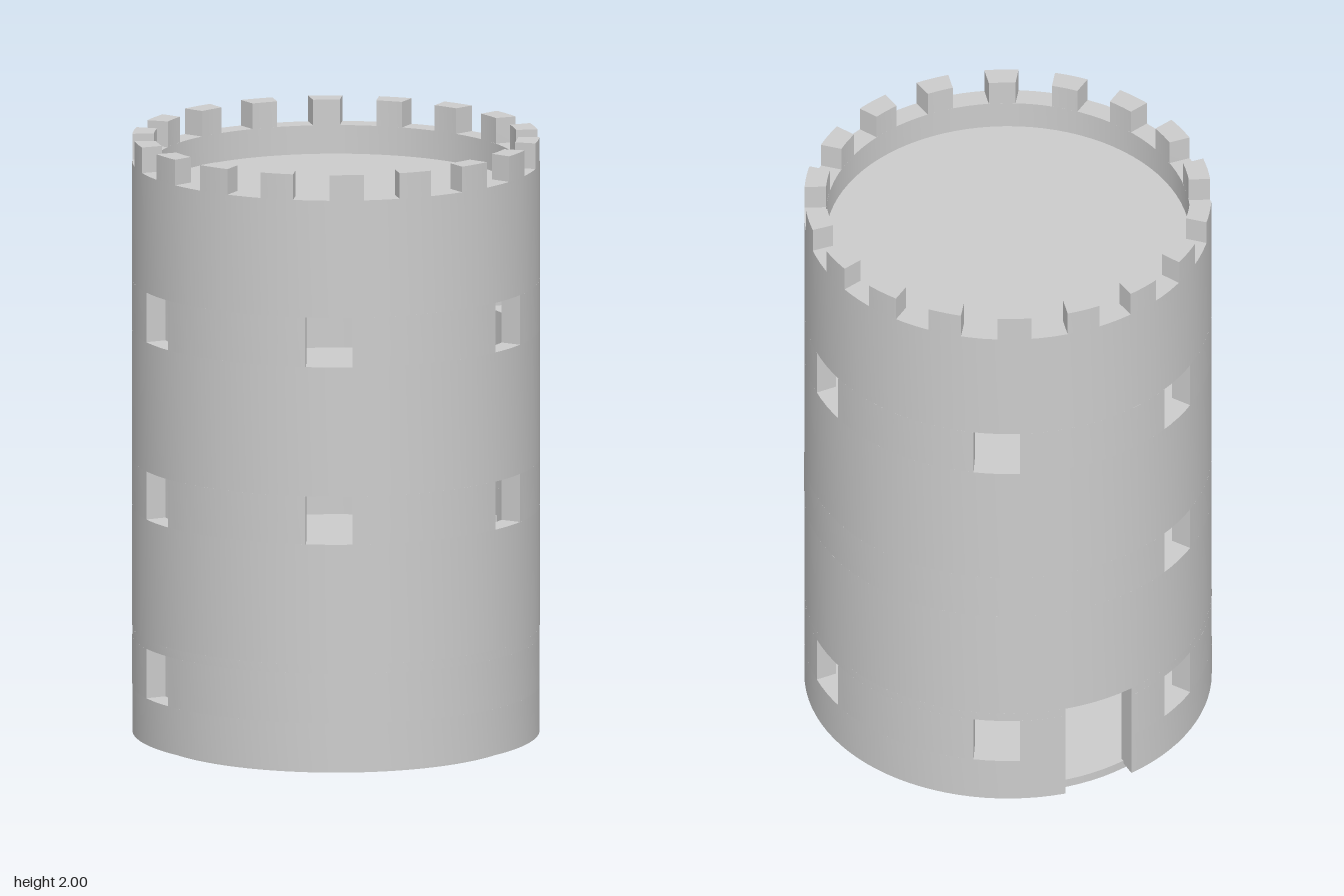
import * as THREE from 'three';
import { mergeGeometries, toCreasedNormals } from 'three/addons/utils/BufferGeometryUtils.js';

const R = 0.665, INNER = 0.595, STAIR_R = 0.42;
const BASE = 0.02, CRENEL = 1.915, TOP = 2;
const FLOORS = [0.03, 0.62, 1.21, 1.82];
const rad = THREE.MathUtils.degToRad;
const material = new THREE.MeshStandardMaterial({ color: 0xcccccc });

// Ring sector from angle a to b (degrees, x towards z). Its ends are cut parallel
// to the opening's axis, at half widths ha and hb, rather than radially.
function sector(r0, r1, a, b, y0, y1, ha = 0, hb = 0) {
  const points = [];
  const arc = (r, reverse) => {
    const s = rad(a) + Math.asin(ha / r), e = rad(b) - Math.asin(hb / r);
    const n = Math.max(1, Math.ceil((b - a) / 4));
    for (let i = 0; i <= n; i++) {
      const t = s + (e - s) * (reverse ? 1 - i / n : i / n);
      points.push(new THREE.Vector2(r * Math.cos(t), r * Math.sin(t)));
    }
  };
  arc(r1, false);
  arc(r0, true);
  const g = new THREE.ExtrudeGeometry(new THREE.Shape(points), { depth: y1 - y0, bevelEnabled: false });
  return g.rotateX(Math.PI / 2).translate(0, y1, 0);
}

// Wall pieces standing between the openings of one horizontal band
function band(y0, y1, openings) {
  const list = openings.length ? openings : [[0, 0], [180, 0]];
  return list.map(([a, ha], i) => {
    const [b, hb] = list[(i + 1) % list.length];
    return sector(INNER, R, a, b > a ? b : b + 360, y0, y1, ha, hb);
  });
}

export function createModel() {
  const group = new THREE.Group();
  group.name = 'tower';
  const add = (name, geometry) => {
    const mesh = new THREE.Mesh(geometry, material);
    mesh.name = name;
    group.add(mesh);
  };
  const disc = (r, y0, y1) => new THREE.CylinderGeometry(r, r, y1 - y0, 90).translate(0, (y0 + y1) / 2, 0);

  // Round wall with windows on three storeys and a door at the back
  const windows = angles => angles.map(a => [a, 0.076]);
  const door = [270, 0.121];
  const low = windows([0, 180, 240, 300]);
  low.splice(3, 0, door);
  const crenels = Array.from({ length: 18 }, (_, i) => [5 + i * 20, 0.06]);
  const bands = [
    [BASE, 0.175, [door]],
    [0.175, 0.34, low],
    [0.34, 0.37, [door]],
    [0.37, 0.77, []],
    [0.77, 0.93, windows([60, 120, 180, 240])],
    [0.93, 1.36, []],
    [1.36, 1.525, windows([0, 60, 120, 180, 240, 300])],
    [1.525, CRENEL, []],
    [CRENEL, TOP, crenels],
  ];
  // A single opening wraps round, so split its piece in two at the far side
  const pieces = bands.flatMap(([y0, y1, open]) =>
    band(y0, y1, open.length === 1 ? [[90, 0], ...open] : open));
  add('wall', toCreasedNormals(mergeGeometries(pieces), 0.5));

  // Plinth with the ground floor on top, and the roof deck
  add('base', disc(0.607, 0, FLOORS[0]));
  add('roofDeck', disc(INNER + 0.003, FLOORS[3] - 0.05, FLOORS[3]));

  // Two flights along the wall, each rising through a well in the floor above
  const STEPS = 10, TREAD = 10;
  [140, 0].forEach((start, k) => {
    const y = FLOORS[k], top = FLOORS[k + 1], rise = (top - y) / STEPS;
    const end = start - STEPS * TREAD;
    add('floorCentre', disc(STAIR_R, top - 0.05, top));
    add('floorEdge', toCreasedNormals(
      sector(STAIR_R, INNER + 0.003, end + 65, end + 360, top - 0.05, top), 0.5));
    const steps = [];
    for (let i = 0; i < STEPS; i++) {
      const a = start - (i + 1) * TREAD, h = y + (i + 1) * rise;
      steps.push(sector(STAIR_R, INNER + 0.003, a, a + TREAD, Math.max(y, h - 2 * rise), h));
    }
    add('stairs', toCreasedNormals(mergeGeometries(steps), 0.5));
  });
  return group;
}
